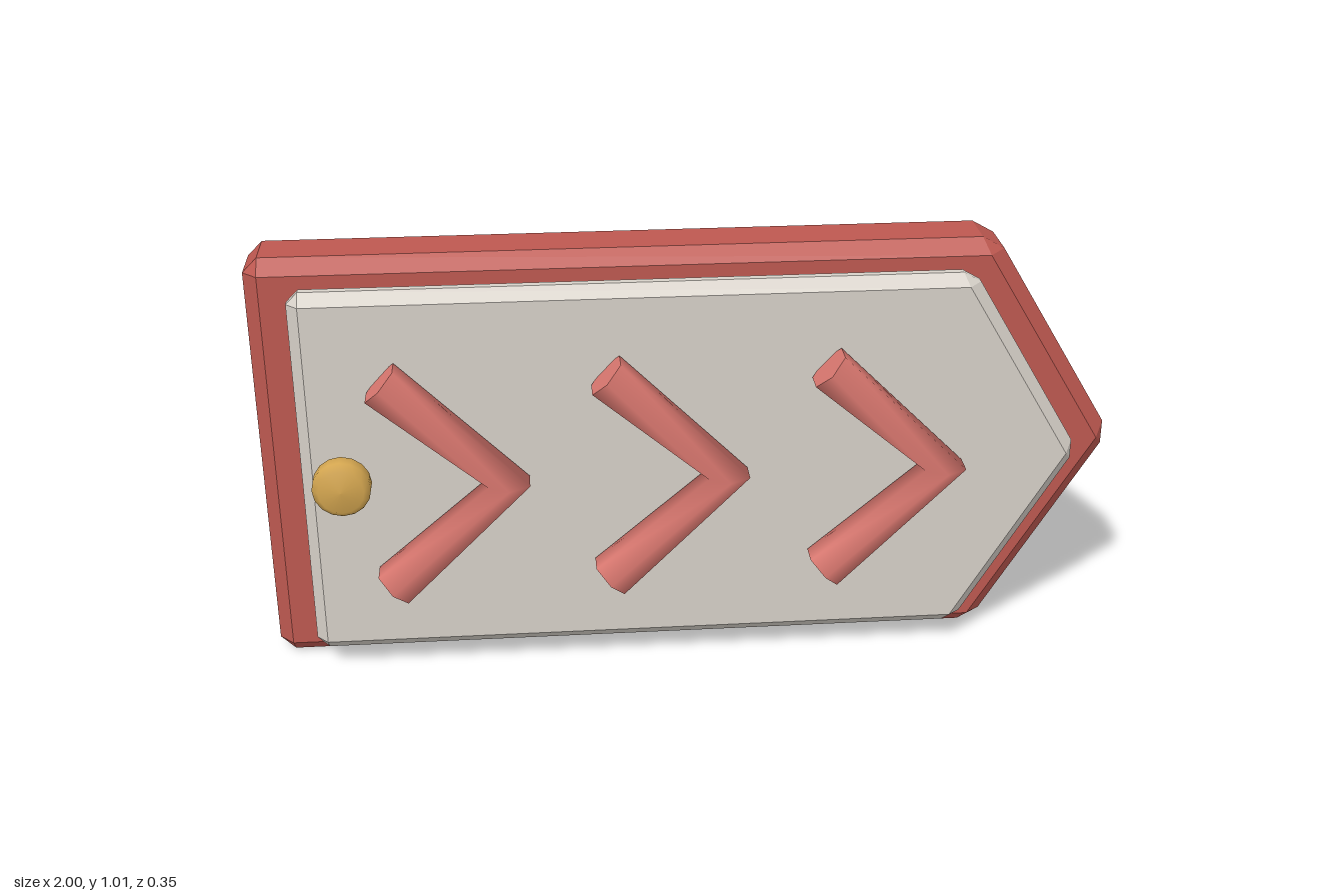
import * as THREE from 'three';
import { ConvexGeometry } from 'three/addons/geometries/ConvexGeometry.js';

const MID_Y = 0.505;

function makeMaterial(name, color) {
  const m = new THREE.MeshStandardMaterial({ color });
  m.name = name;
  return m;
}

// Arrow-shaped slab with every edge chamfered by w
function arrowSlab(left, shoulder, tip, halfHeight, zBack, zFront, w) {
  const outline = [
    [left, MID_Y - halfHeight], [shoulder, MID_Y - halfHeight], [tip, MID_Y],
    [shoulder, MID_Y + halfHeight], [left, MID_Y + halfHeight],
  ].map(([x, y]) => new THREE.Vector2(x, y));
  const n = outline.length;
  const points = [];
  outline.forEach((v, i) => {
    const dIn = v.clone().sub(outline[(i + n - 1) % n]).normalize();
    const dOut = outline[(i + 1) % n].clone().sub(v).normalize();
    const inset = dOut.clone().sub(dIn).multiplyScalar(w / dIn.cross(dOut)).add(v);
    const before = v.clone().addScaledVector(dIn, -w);
    const after = v.clone().addScaledVector(dOut, w);
    for (const [z, step] of [[zBack, w], [zFront, -w]]) {
      points.push(new THREE.Vector3(inset.x, inset.y, z));
      for (const p of [before, after]) points.push(new THREE.Vector3(p.x, p.y, z + step));
    }
  });
  return new ConvexGeometry(points);
}

// Bent six-sided bar with closed ends
function makeChevron(tipX, material) {
  const r = 0.055, z = 0.123;
  const tip = new THREE.Vector3(tipX, MID_Y, z);
  const ends = [1, -1].map((s) => new THREE.Vector3(tipX - 0.278, MID_Y + s * 0.257, z));
  const path = new THREE.CurvePath();
  path.add(new THREE.LineCurve3(ends[0], tip));
  path.add(new THREE.LineCurve3(tip, ends[1]));

  const group = new THREE.Group();
  group.name = 'chevron';
  const bar = new THREE.Mesh(new THREE.TubeGeometry(path, 2, r, 6, false), material);
  bar.name = 'chevronBar';
  group.add(bar);
  const zAxis = new THREE.Vector3(0, 0, 1);
  for (const end of ends) {
    const out = end.clone().sub(tip).normalize();
    const basis = new THREE.Matrix4().makeBasis(zAxis, out.clone().cross(zAxis), out);
    const geometry = new THREE.CircleGeometry(r, 6).applyMatrix4(basis);
    const cap = new THREE.Mesh(geometry, material);
    cap.name = 'chevronEnd';
    cap.position.copy(end);
    group.add(cap);
  }
  return group;
}

export function createModel() {
  const red = makeMaterial('board red', 0xbd5850);
  const grey = makeMaterial('panel grey', 0xd6d0c8);
  const coral = makeMaterial('chevron coral', 0xd9776f);
  const gold = makeMaterial('stud gold', 0xd4a650);

  const model = new THREE.Group();
  model.name = 'arrowSign';

  // Backing board and raised panel
  const board = new THREE.Mesh(arrowSlab(-1, 0.71, 1.017, 0.505, -0.176, 0.006, 0.034), red);
  board.name = 'backBoard';
  const panel = new THREE.Mesh(arrowSlab(-0.9, 0.643, 0.914, 0.4525, 0.0135, 0.0865, 0.027), grey);
  panel.name = 'frontPanel';
  model.add(board, panel);

  // Three chevrons in a row
  for (let i = -1; i <= 1; i++) model.add(makeChevron(0.078 + i * 0.504, coral));

  // Rounded stud
  const profile = [[0, 0], [0.055, 0], [0.067, 0.017], [0.067, 0.05], [0.052, 0.066], [0, 0.071]]
    .map(([r, h]) => new THREE.Vector2(r, h));
  const stud = new THREE.Mesh(new THREE.LatheGeometry(profile, 16), gold);
  stud.name = 'stud';
  stud.rotation.x = Math.PI / 2;
  stud.position.set(-0.805, 0.508, 0.086);
  model.add(stud);

  return model;
}
